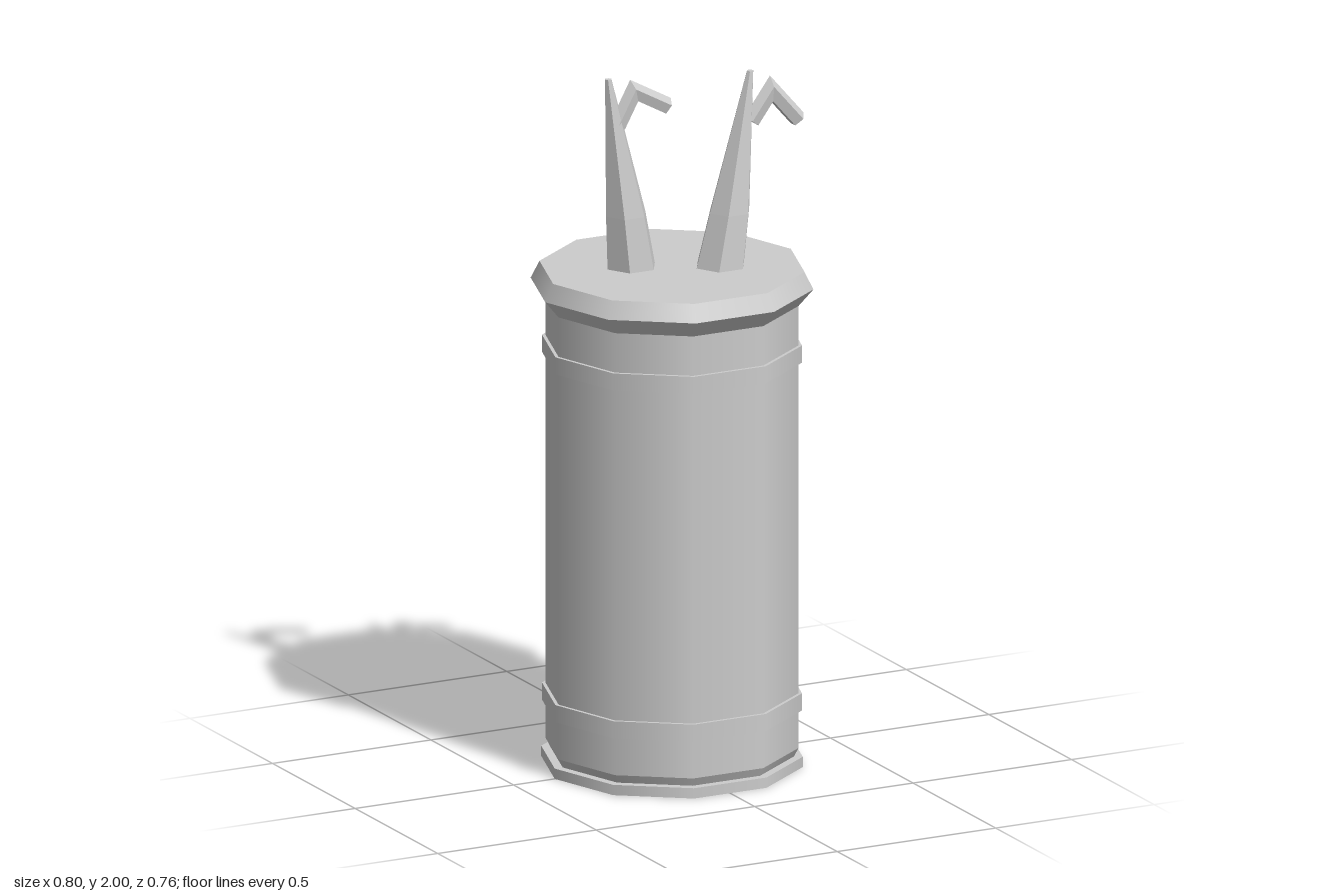
import * as THREE from 'three';

const SIDES = 10;
const V = (x, y, z) => new THREE.Vector3(x, y, z);

// Skin a list of equal rings (counter-clockwise about the travel direction), with end caps
function loft(rings) {
  const pos = [];
  const tri = (...pts) => pts.forEach((p) => pos.push(p.x, p.y, p.z));
  const n = rings[0].length;
  for (let i = 0; i < rings.length - 1; i++) {
    for (let j = 0; j < n; j++) {
      const k = (j + 1) % n;
      const [a, b, c, d] = [rings[i][j], rings[i][k], rings[i + 1][k], rings[i + 1][j]];
      tri(a, b, c);
      tri(a, c, d);
    }
  }
  const first = rings[0], last = rings[rings.length - 1];
  for (let j = 1; j < n - 1; j++) {
    tri(first[0], first[j + 1], first[j]);
    tri(last[0], last[j], last[j + 1]);
  }
  const g = new THREE.BufferGeometry();
  g.setAttribute('position', new THREE.Float32BufferAttribute(pos, 3));
  g.computeVertexNormals();
  return g;
}

// Leaning six-sided spike; sections are [centre x, y, radius]
function spike(sections, z) {
  return loft(sections.map(([x, y, r]) => Array.from({ length: 6 }, (_, j) => {
    const a = (j * Math.PI) / 3;
    return V(x + r * Math.cos(a), y, z - r * Math.sin(a));
  })));
}

// Five-sided bent bar along an x-y path with mitred corners
function bentBar(path, z, r) {
  const pts = path.map(([x, y]) => new THREE.Vector2(x, y));
  const dir = (i) => pts[i + 1].clone().sub(pts[i]).normalize();
  return loft(pts.map((p, i) => {
    const before = dir(Math.max(i - 1, 0));
    const after = dir(Math.min(i, pts.length - 2));
    const t = before.clone().add(after).normalize();
    const stretch = 1 / t.dot(after);
    return Array.from({ length: 5 }, (_, j) => {
      const a = (j * Math.PI * 2) / 5;
      const s = r * stretch * Math.cos(a);
      return V(p.x - t.y * s, p.y + t.x * s, z + r * Math.sin(a));
    });
  }));
}

export function createModel() {
  const model = new THREE.Group();
  model.name = 'umbrellaStand';
  const grey = new THREE.MeshStandardMaterial({ color: 0xcccccc });
  grey.name = 'grey';

  const add = (name, geometry, parent = model) => {
    const mesh = new THREE.Mesh(geometry, grey);
    mesh.name = name;
    parent.add(mesh);
  };
  const drum = (name, y0, y1, r0, r1, open = false) => {
    const g = new THREE.CylinderGeometry(r1, r0, y1 - y0, SIDES, 1, open, Math.PI / 2);
    g.translate(0, (y0 + y1) / 2, 0);
    add(name, g);
  };

  // Stand: foot, body, flared rim and closed top
  drum('foot', 0, 0.03, 0.37, 0.37);
  drum('bodyChamfer', 0.03, 0.055, 0.345, 0.358, true);
  drum('body', 0.055, 1.345, 0.358, 0.358, true);
  drum('rimFlare', 1.345, 1.395, 0.358, 0.4, true);
  drum('rimTop', 1.395, 1.445, 0.4, 0.375);

  // Raised bands
  drum('lowerBand', 0.165, 0.215, 0.368, 0.368);
  drum('upperBand', 1.18, 1.23, 0.368, 0.368);

  // Folded umbrellas with hooked handles
  const umbrellas = [
    {
      name: 'rightUmbrella', z: -0.056,
      sections: [[-0.099, 1.44, 0.075], [-0.117, 1.6, 0.062], [-0.172, 2, 0.01]],
      hook: [[-0.145, 1.86], [-0.093, 1.955], [0.013, 1.897]],
    },
    {
      name: 'leftUmbrella', z: 0.051,
      sections: [[0.125, 1.44, 0.075], [0.155, 1.6, 0.062], [0.22, 2, 0.01]],
      hook: [[0.222, 1.853], [0.284, 1.937], [0.37, 1.838]],
    },
  ];
  for (const { name, z, sections, hook } of umbrellas) {
    const group = new THREE.Group();
    group.name = name;
    add('foldedCanopy', spike(sections, z), group);
    add('handle', bentBar(hook, z, 0.025), group);
    model.add(group);
  }

  return model;
}
